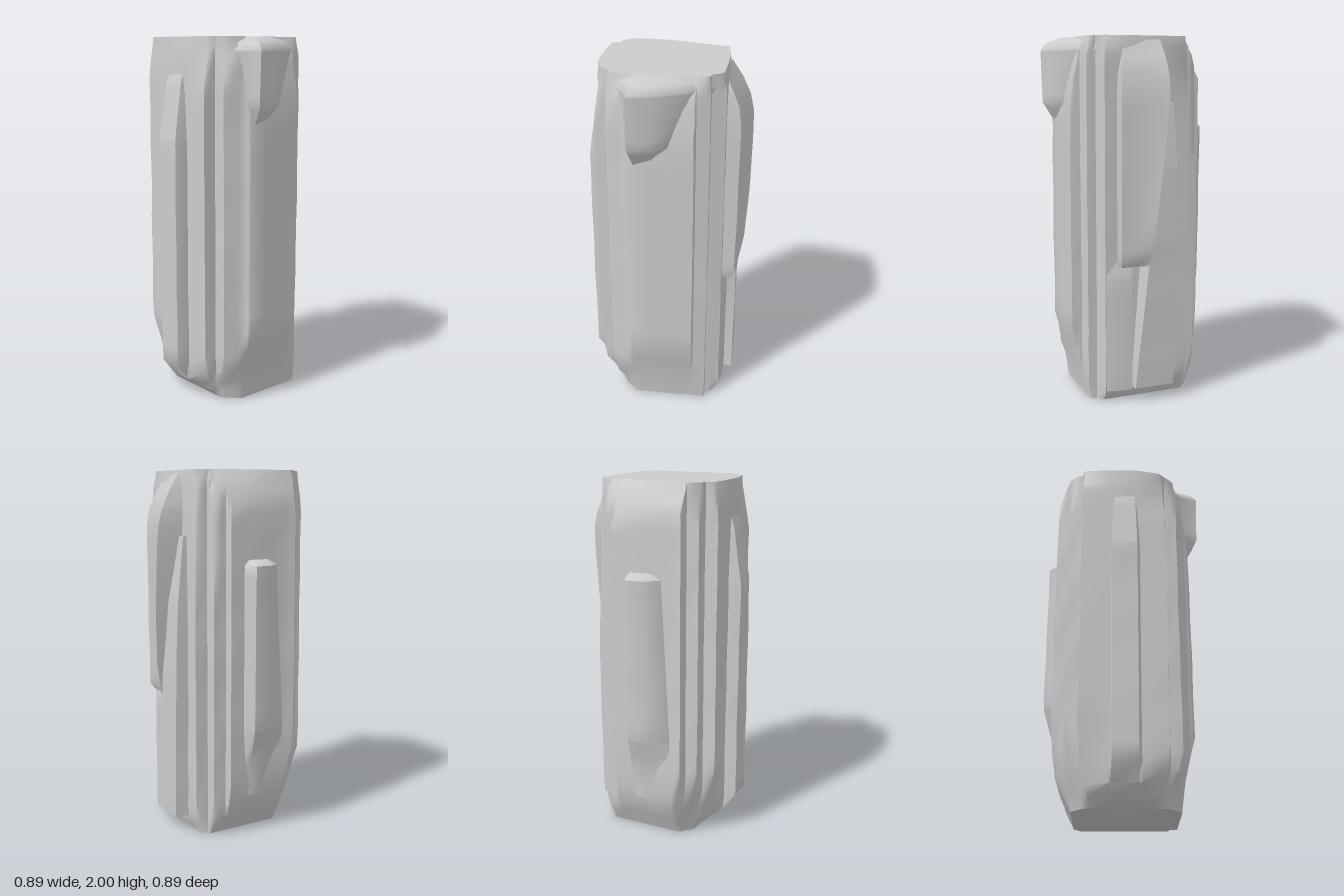
import * as THREE from 'three';
import { toCreasedNormals } from 'three/addons/utils/BufferGeometryUtils.js';

const material = new THREE.MeshStandardMaterial({ color: 0xcccccc });

// Height tables [y, reach] of the chamfering planes: direction (x, z), then profile
const q = Math.SQRT1_2;
const planes = [
  [1, 0, [[0, 0.28], [0.06, 0.385], [0.8, 0.395], [1.07, 0.452], [1.75, 0.447], [1.9, 0.375], [2, 0.305]]],
  [-1, 0, [[0, 0.25], [0.16, 0.45], [1.45, 0.45], [1.7, 0.41], [2, 0.37]]],
  [0, 1, [[0, 0.305], [0.2, 0.335], [0.4, 0.385], [1.6, 0.385], [1.75, 0.37], [1.9, 0.345], [2, 0.3]]],
  [0, -1, [[0, 0.27], [0.1, 0.32], [0.2, 0.365], [0.4, 0.385], [0.62, 0.445], [1.52, 0.445], [1.85, 0.375], [2, 0.325]]],
  [0.24, -0.97, [[0, 0.47], [1.7, 0.47], [1.8, 0.385], [1.92, 0.345], [2, 0.296]]],
  [q, q, [[0, 0.4], [0.15, 0.43], [1.75, 0.43], [2, 0.37]]],
  [q, -q, [[0, 0.36], [0.25, 0.42], [1.2, 0.42], [1.4, 0.395], [1.8, 0.385], [2, 0.37]]],
  [-q, q, [[0, 0.335], [0.12, 0.37], [0.2, 0.44], [1.7, 0.44], [2, 0.39]]],
  [-q, -q, [[0, 0.32], [0.15, 0.37], [0.45, 0.45], [1.7, 0.45], [2, 0.41]]],
];

function sample(table, y) {
  for (let i = 1; i < table.length; i++) {
    const [y0, v0] = table[i - 1], [y1, v1] = table[i];
    if (y <= y1) return THREE.MathUtils.lerp(v0, v1, Math.max(0, (y - y0) / (y1 - y0)));
  }
  return table[table.length - 1][1];
}

// Pull a point back inside the chamfer planes and add slight weathering
function weather([x, z], y) {
  let s = 1;
  for (const [nx, nz, table] of planes) {
    const d = x * nx + z * nz;
    if (d > 0) s = Math.min(s, sample(table, y) / d);
  }
  if (y > 0 && y < 2) s *= 1 - 0.007 * (1 + Math.sin(y * 9 + x * 17) * Math.sin(y * 5 - z * 23));
  return [x * s, z * s];
}

function subdivide(points, n) {
  return points.flatMap(([x, z], i) => {
    const [x1, z1] = points[(i + 1) % points.length];
    return Array.from({ length: n }, (_, k) => [x + (x1 - x) * k / n, z + (z1 - z) * k / n]);
  });
}

// Closed skin over rings {y, pts}, listed upward, each ring running front, right, back, left
function loft(name, rings) {
  const pos = [], idx = [], n = rings[0].pts.length;
  for (const { y, pts } of rings) for (const [x, z] of pts) pos.push(x, y, z);
  for (let r = 0; r < rings.length - 1; r++) {
    for (let j = 0; j < n; j++) {
      const a = r * n + j, b = r * n + (j + 1) % n;
      idx.push(a, b, b + n, a, b + n, a + n);
    }
  }
  for (const r of [0, rings.length - 1]) {
    const { y, pts } = rings[r], c = pos.length / 3;
    pos.push(pts.reduce((t, p) => t + p[0], 0) / n, y, pts.reduce((t, p) => t + p[1], 0) / n);
    for (let j = 0; j < n; j++) {
      const a = r * n + j, b = r * n + (j + 1) % n;
      if (r) idx.push(c, a, b); else idx.push(c, b, a);
    }
  }
  const geo = new THREE.BufferGeometry();
  geo.setAttribute('position', new THREE.Float32BufferAttribute(pos, 3));
  geo.setIndex(idx);
  const mesh = new THREE.Mesh(toCreasedNormals(geo, 0.8), material);
  mesh.name = name;
  return mesh;
}

// Slab standing on the column: footprint at bottom and top, levels [y, radial scale]
function slab(name, low, levels, high = low, clip = true) {
  const y0 = levels[0][0], y1 = levels[levels.length - 1][0];
  const steps = Math.max(6, Math.ceil((y1 - y0) / 0.1));
  const ys = new Set(levels.map(l => l[0]));
  for (let i = 1; i < steps; i++) ys.add(y0 + (y1 - y0) * i / steps);
  const rings = [...ys].sort((a, b) => a - b).map(y => {
    const s = sample(levels, y), t = (y - y0) / (y1 - y0);
    const pts = low.map(([x, z], i) => {
      const p = [(x + (high[i][0] - x) * t) * s, (z + (high[i][1] - z) * t) * s];
      return clip ? weather(p, y) : p;
    });
    return { y, pts };
  });
  return loft(name, rings);
}

export function createModel() {
  const group = new THREE.Group();
  group.name = 'rockColumn';

  // Main column with a stepped outline
  const outline = subdivide([
    [-0.38, 0.24], [-0.31, 0.245], [-0.305, 0.31], [-0.2, 0.355], [-0.18, 0.39], [0.165, 0.385],
    [0.17, 0.33], [0.24, 0.315], [0.24, 0.265], [0.315, 0.24],
    [0.315, -0.25], [0.245, -0.255], [0.245, -0.325], [0.172, -0.328], [0.168, -0.378],
    [-0.18, -0.375], [-0.24, -0.385], [-0.245, -0.32], [-0.31, -0.31], [-0.315, -0.24], [-0.385, -0.235],
  ], 3);
  const heights = [0, 0.05, 0.1, 0.18, 0.28, 0.4];
  for (let y = 0.5; y < 1.75; y += 0.1) heights.push(y);
  heights.push(1.77, 1.85, 1.9, 1.95, 2);
  group.add(loft('column', heights.map(y => ({ y, pts: outline.map(p => weather(p, y)) }))));

  // Slab high on the left side, leaning as it rises
  group.add(slab('upperSideSlab',
    [[0.25, 0.17], [0.385, 0.17], [0.395, 0.06], [0.42, 0.01], [0.25, 0]],
    [[0.77, 0.95], [0.8, 1], [1.7, 1.01], [1.8, 0.98], [1.98, 0.76]],
    [[0.25, 0.17], [0.385, 0.17], [0.4, 0.06], [0.475, -0.11], [0.25, -0.16]]));

  // Slabs low on the left side
  group.add(slab('lowerSideSlab',
    [[0.25, 0.09], [0.388, 0.09], [0.388, -0.14], [0.25, -0.16]],
    [[0.08, 1], [0.9, 1], [1.3, 0.96], [1.65, 0.85]],
    [[0.25, 0.03], [0.388, -0.09], [0.388, -0.175], [0.25, -0.18]]));
  group.add(slab('lowerSideStep',
    [[0.25, 0.235], [0.318, 0.235], [0.335, 0.165], [0.34, 0.09], [0.25, 0.08]],
    [[0.06, 1], [0.7, 1], [0.9, 0.9]]));

  // Rib along the right side
  group.add(slab('rightRib',
    [[-0.3, -0.08], [-0.39, -0.07], [-0.455, -0.06], [-0.455, 0.08], [-0.385, 0.095], [-0.3, 0.09]],
    [[0.1, 1], [1.45, 1], [1.7, 0.93], [1.85, 0.8]]));

  // Rib on the back, narrowing upward and fading into the column below
  group.add(slab('backRib',
    [[0.1, -0.34], [0.08, -0.39], [0.055, -0.45], [-0.045, -0.45], [-0.19, -0.38], [-0.2, -0.34]],
    [[0.22, 0.9], [0.6, 1], [1.5, 1], [1.53, 0.88]],
    [[0.1, -0.34], [0.08, -0.39], [0.055, -0.45], [-0.045, -0.45], [-0.12, -0.38], [-0.14, -0.34]]));

  // Overhanging chunk at the top of the front, spreading toward the left corner
  group.add(slab('frontOverhang',
    [[-0.25, 0.26], [-0.195, 0.36], [-0.175, 0.445], [-0.06, 0.425], [0, 0.39], [0.05, 0.28]],
    [[1.53, 0.84], [1.64, 0.985], [1.93, 1], [1.97, 0.93], [1.998, 0.76]],
    [[-0.34, 0.21], [-0.2, 0.36], [-0.17, 0.447], [-0.05, 0.432], [0.13, 0.36], [0.3, 0.25]], false));

  return group;
}
